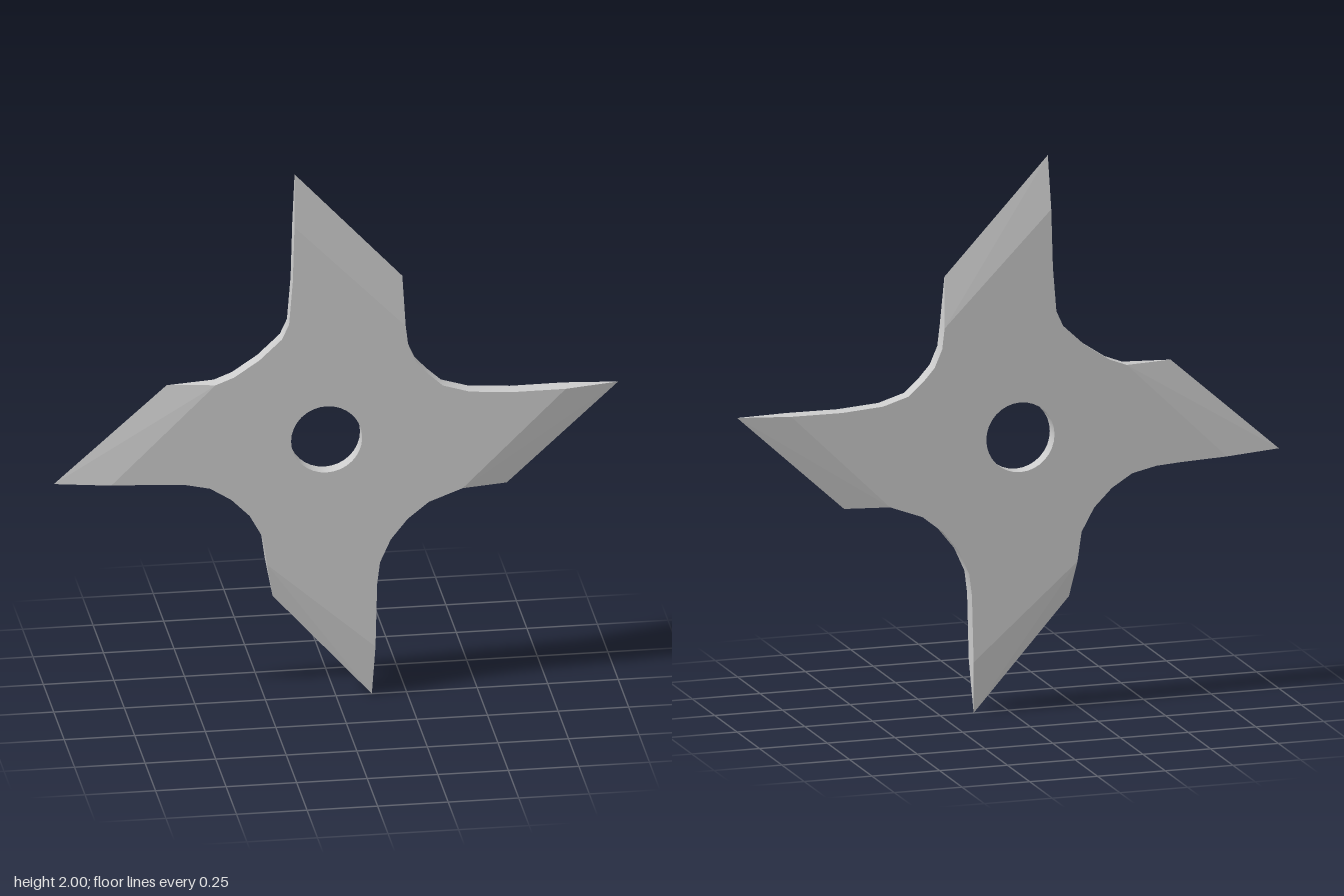
import * as THREE from 'three';
import { toCreasedNormals } from 'three/addons/utils/BufferGeometryUtils.js';

// Clockwise outline, one row per arm: tip, heel, then the curve on to the next arm
const ARMS = [
  [[-0.147, 2], [0.235, 1.59], [0.243, 1.41], [0.252, 1.335], [0.28, 1.27], [0.32, 1.225], [0.375, 1.175], [0.47, 1.146], [0.62, 1.135], [0.81, 1.136]],
  [[1, 1.14], [0.605, 0.78], [0.445, 0.78], [0.325, 0.735], [0.25, 0.675], [0.19, 0.6], [0.152, 0.515], [0.142, 0.435], [0.136, 0.195]],
  [[0.127, 0.005], [-0.225, 0.4], [-0.248, 0.53], [-0.263, 0.635], [-0.31, 0.72], [-0.375, 0.785], [-0.45, 0.832], [-0.54, 0.852], [-0.63, 0.858], [-0.8, 0.865]],
  [[-1, 0.873], [-0.6, 1.225], [-0.43, 1.225], [-0.365, 1.25], [-0.275, 1.31], [-0.195, 1.385], [-0.17, 1.44], [-0.157, 1.6], [-0.151, 1.81]],
];
const HOLE = { x: -0.037, y: 0.995, r: 0.126, sides: 32 };

// Half thickness, growing very slightly towards +x
const half = (x) => 0.027 + 0.003 * x;

export function createModel() {
  const group = new THREE.Group();
  const material = new THREE.MeshStandardMaterial({ color: 0xcccccc });
  const add = (name, geometry) => {
    const mesh = new THREE.Mesh(geometry, material);
    mesh.name = name;
    group.add(mesh);
  };
  const fromTriangles = (triangles) => {
    const geometry = new THREE.BufferGeometry();
    geometry.setAttribute('position', new THREE.Float32BufferAttribute(triangles.flat(2), 3));
    geometry.computeVertexNormals();
    return geometry;
  };

  // Points carry their half thickness; tips and heels are sharp
  const arms = ARMS.map((arm) => arm.map(([x, y], i) => [x, y, i < 2 ? 0 : half(x)]));
  const outline = arms.flat();
  const hole = Array.from({ length: HOLE.sides }, (_, i) => {
    const a = (i / HOLE.sides) * Math.PI * 2;
    const x = HOLE.x + HOLE.r * Math.cos(a);
    return [x, HOLE.y + HOLE.r * Math.sin(a), half(x)];
  });
  const toVectors = (points) => points.map(([x, y]) => new THREE.Vector2(x, y));

  // Flat faces between the bevels, with the centre hole
  const shape = new THREE.Shape(toVectors(arms.flatMap((arm) => arm.slice(2))));
  shape.holes.push(new THREE.Path(toVectors(hole)));
  for (const side of [1, -1]) {
    const face = new THREE.ShapeGeometry(shape);
    const p = face.attributes.position;
    for (let i = 0; i < p.count; i++) p.setZ(i, side * half(p.getX(i)));
    if (side < 0) face.setIndex(Array.from(face.index.array).reverse());
    face.computeVertexNormals();
    add(side > 0 ? 'frontFace' : 'backFace', face);
  }

  // Bevels narrowing to the cutting edge of every arm
  arms.forEach((arm, k) => {
    const [tip, heel, inner] = arm;
    const outer = arms[(k + 3) % 4].at(-1);
    const triangles = [];
    for (const side of [1, -1]) {
      const [a, b, c, d] = [inner, heel, tip, outer].map(([x, y, z]) => [x, y, side * z]);
      triangles.push(...(side > 0 ? [[a, b, c], [a, c, d]] : [[c, b, a], [d, c, a]]));
    }
    add(`bladeBevel${k + 1}`, fromTriangles(triangles));
  });

  // Side walls that follow a closed loop of points
  const wall = (points) => {
    const triangles = [];
    points.forEach((a, i) => {
      const b = points[(i + 1) % points.length];
      const [aBack, bBack] = [a, b].map(([x, y, z]) => [x, y, -z]);
      if (b[2] > 0) triangles.push([a, b, bBack]);
      if (a[2] > 0) triangles.push([a, bBack, aBack]);
    });
    return toCreasedNormals(fromTriangles(triangles), Math.PI / 6);
  };
  add('outerRim', wall(outline));
  add('holeWall', wall(hole));

  return group;
}
